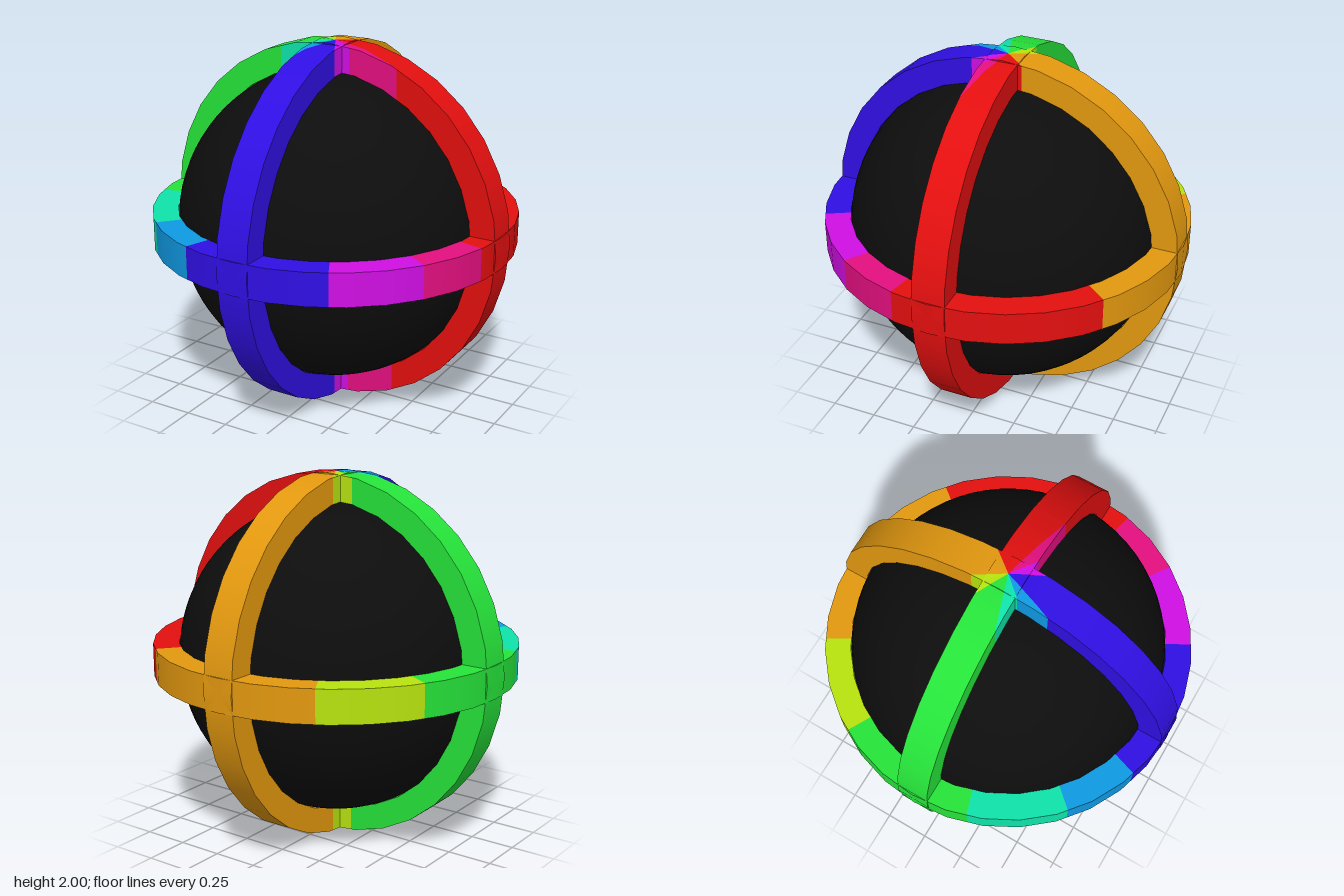
import * as THREE from 'three';

const OUTER = 1, INNER = 0.86, HALF = 0.09, SEGMENTS = 32;

const paint = (name, color) => {
  const m = new THREE.MeshStandardMaterial({ color });
  m.name = name;
  return m;
};

// Colour sectors around the vertical axis: name, colour, start and end angle in degrees
const SECTORS = [
  ['red', 0xe40f0f, -12.3, 51.4],
  ['orange', 0xe4990f, 51.4, 120],
  ['lime', 0xb8e40f, 120, 151.3],
  ['green', 0x26e43a, 151.3, 197.7],
  ['teal', 0x0fe4aa, 197.7, 228.5],
  ['azure', 0x0f9ae4, 228.5, 251.6],
  ['blue', 0x300fe4, 251.6, 298.7],
  ['magenta', 0xd00fe4, 298.7, 326],
  ['pink', 0xe40f80, 326, 347.7],
].map(([name, color, from, to]) => ({ name, from, to, material: paint(name, color) }));

// Keep the part of a convex polygon on one side of a vertical plane through the axis
function clip(points, degrees, sign) {
  const t = THREE.MathUtils.degToRad(degrees);
  const side = (p) => sign * (-p.z * Math.cos(t) - p.x * Math.sin(t));
  const out = [];
  points.forEach((p, i) => {
    const q = points[(i + 1) % points.length];
    const a = side(p), b = side(q);
    if (a >= 0) out.push(p);
    if ((a > 0 && b < 0) || (a < 0 && b > 0)) out.push(p.clone().lerp(q, a / (a - b)));
  });
  return out;
}

// Faces of a ring with a rectangular section; normalAt gives smooth walls and flat sides
function ringFaces(u, v, axis) {
  const at = (i, radius, w) => {
    const a = (i / SEGMENTS) * Math.PI * 2;
    return new THREE.Vector3()
      .addScaledVector(u, radius * Math.cos(a))
      .addScaledVector(v, radius * Math.sin(a))
      .addScaledVector(axis, w);
  };
  const radial = (sign) => (p) =>
    p.clone().addScaledVector(axis, -p.dot(axis)).normalize().multiplyScalar(sign);
  const flat = (sign) => () => axis.clone().multiplyScalar(sign);
  const section = [
    [OUTER, -HALF, OUTER, HALF, radial(1)],
    [OUTER, HALF, INNER, HALF, flat(1)],
    [INNER, HALF, INNER, -HALF, radial(-1)],
    [INNER, -HALF, OUTER, -HALF, flat(-1)],
  ];
  const faces = [];
  for (let i = 0; i < SEGMENTS; i++) {
    for (const [r0, w0, r1, w1, normalAt] of section) {
      faces.push({
        points: [at(i, r0, w0), at(i + 1, r0, w0), at(i + 1, r1, w1), at(i, r1, w1)],
        normalAt,
      });
    }
  }
  return faces;
}

// The portion of a ring inside one colour sector
function sectorGeometry(faces, from, to) {
  const position = [], normal = [];
  for (const { points, normalAt } of faces) {
    const poly = clip(clip(points, from, 1), to, -1);
    for (let i = 1; i + 1 < poly.length; i++) {
      for (const p of [poly[0], poly[i], poly[i + 1]]) {
        position.push(p.x, p.y, p.z);
        normal.push(...normalAt(p).toArray());
      }
    }
  }
  const g = new THREE.BufferGeometry();
  g.setAttribute('position', new THREE.Float32BufferAttribute(position, 3));
  g.setAttribute('normal', new THREE.Float32BufferAttribute(normal, 3));
  return g;
}

export function createModel() {
  const model = new THREE.Group();
  model.name = 'ringedSphere';

  // Dark core
  const core = new THREE.Mesh(new THREE.SphereGeometry(INNER, 64, 40), paint('black', 0x0d0d0d));
  core.name = 'core';
  core.position.y = 1;
  model.add(core);

  // Three crossing rings
  const X = new THREE.Vector3(1, 0, 0), Y = new THREE.Vector3(0, 1, 0), Z = new THREE.Vector3(0, 0, 1);
  const rings = [
    ['frontRing', X, Y, Z],
    ['sideRing', Y, Z, X],
    ['equatorRing', Z, X, Y],
  ];
  for (const [name, u, v, axis] of rings) {
    const ring = new THREE.Group();
    ring.name = name;
    ring.position.y = 1;
    const faces = ringFaces(u, v, axis);
    for (const s of SECTORS) {
      const mesh = new THREE.Mesh(sectorGeometry(faces, s.from, s.to), s.material);
      mesh.name = `${name} ${s.name} section`;
      ring.add(mesh);
    }
    model.add(ring);
  }
  return model;
}
